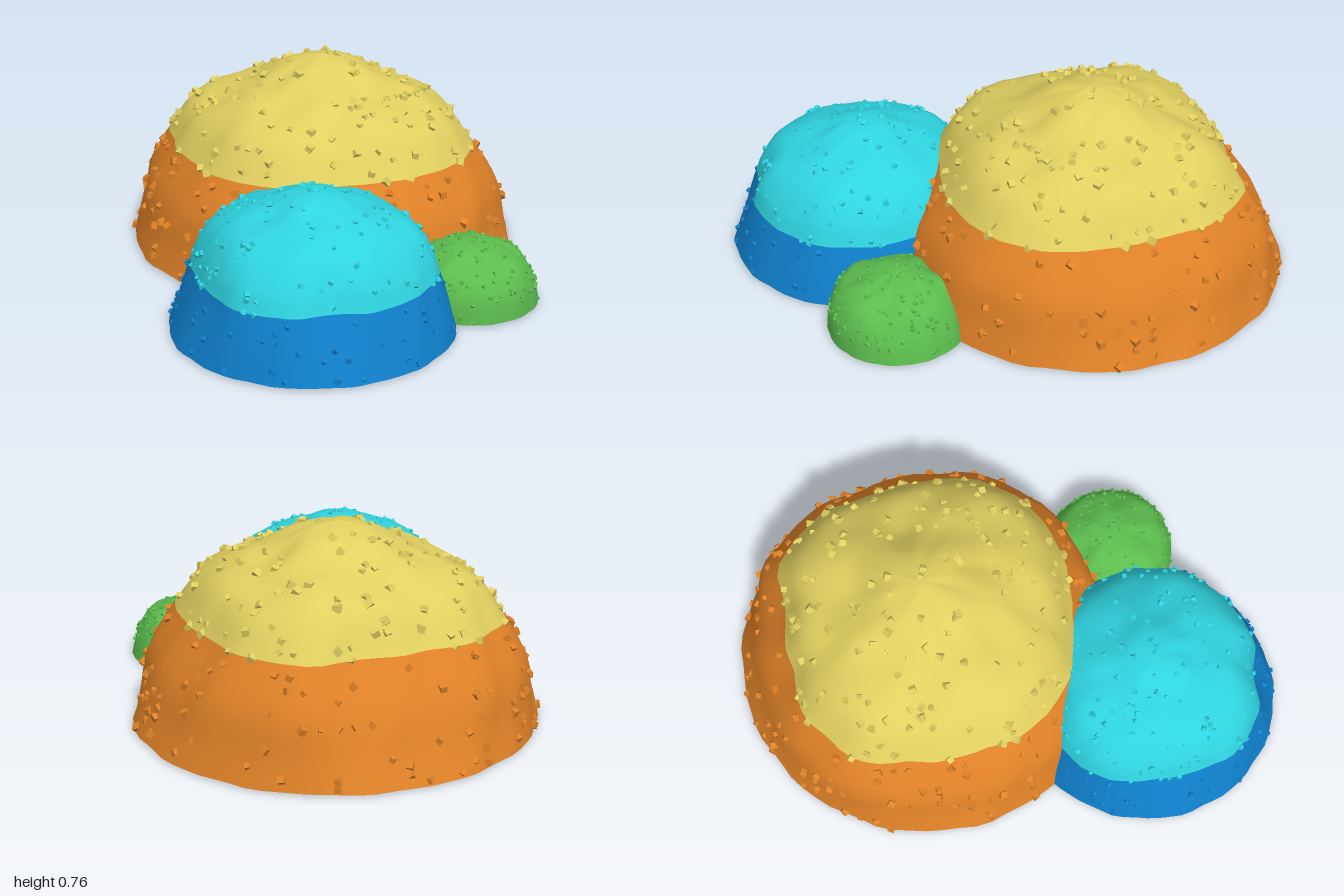
import * as THREE from 'three';
import { mergeGeometries } from 'three/addons/utils/BufferGeometryUtils.js';

const mat = (name, color) => {
  const m = new THREE.MeshStandardMaterial({ color });
  m.name = name;
  return m;
};

// small seeded generator
function seeded(seed) {
  let s = seed;
  return () => (s = (s * 16807) % 2147483647) / 2147483647;
}

// smooth periodic lookup of values spaced evenly around a full turn
function around(values, turn) {
  const n = values.length;
  const f = (((turn % 1) + 1) % 1) * n;
  const i = Math.floor(f) % n;
  const k = f - Math.floor(f);
  const s = k * k * (3 - 2 * k);
  return values[i] * (1 - s) + values[(i + 1) % n] * s;
}

const SEGMENTS = 72;
const STEPS = 4;

// profile: [radius, y] from the foot to the summit; split: profile index of the colour change;
// outline: radii of the mound at that level, going round from +x towards +z
function mound(o) {
  const group = new THREE.Group();
  group.name = o.name;
  const rnd = seeded(o.seed);
  const curve = new THREE.SplineCurve(o.profile.map(([r, y]) => new THREE.Vector2(r, y)));
  const rings = (o.profile.length - 1) * STEPS;
  const [splitR, splitY] = o.profile[o.split];
  const topY = o.profile[o.profile.length - 1][1];

  const pos = [];
  for (let j = 0; j <= rings; j++) {
    const p = curve.getPoint(j / rings);
    const blend = Math.min(1, p.y / splitY);
    const upper = Math.max(0, (p.y - splitY) / (topY - splitY));
    for (let i = 0; i < SEGMENTS; i++) {
      const a = (i / SEGMENTS) * Math.PI * 2;
      const shape = 1 + (around(o.outline, i / SEGMENTS) / splitR - 1) * blend;
      const ripple = 1 + 0.006 * Math.sin(a * 13 + o.seed + p.y * 9) + 0.004 * Math.sin(a * 23 + p.y * 17);
      const r = Math.max(0, p.x) * shape * ripple;
      const lump = o.lump * Math.sin(Math.PI * upper) * (Math.sin(a * 5 + o.seed + p.x * 14) + 0.6 * Math.sin(a * 8 - p.x * 20));
      pos.push(r * Math.cos(a), Math.max(0, p.y) + lump, r * Math.sin(a));
    }
  }
  const index = [];
  for (let j = 0; j < rings; j++) {
    for (let i = 0; i < SEGMENTS; i++) {
      const n = (i + 1) % SEGMENTS;
      const a = j * SEGMENTS + i, b = j * SEGMENTS + n;
      const c = a + SEGMENTS, d = b + SEGMENTS;
      index.push(a, c, b, b, c, d);
    }
  }
  const geo = new THREE.BufferGeometry();
  geo.setAttribute('position', new THREE.Float32BufferAttribute(pos, 3));
  geo.setIndex(index);
  geo.computeVertexNormals();
  const normals = geo.attributes.normal;
  for (let i = 0; i < SEGMENTS; i++) normals.setXYZ(rings * SEGMENTS + i, 0, 1, 0);
  const splitRing = o.split * STEPS;
  const splitAt = splitRing * SEGMENTS * 6;
  geo.addGroup(0, splitAt, 0);
  geo.addGroup(splitAt, index.length - splitAt, 1);
  const body = new THREE.Mesh(geo, [o.lower, o.upper]);
  body.name = 'moundSurface';
  group.add(body);

  // flat underside
  const foot = [];
  for (let i = 0; i < SEGMENTS; i++) foot.push(new THREE.Vector2(pos[i * 3], pos[i * 3 + 2]));
  const base = new THREE.Mesh(new THREE.ShapeGeometry(new THREE.Shape(foot)).rotateX(Math.PI / 2), o.lower);
  base.position.y = o.lift;
  base.name = 'underside';
  group.add(base);

  // little cubes half sunk into the surface
  const pebbles = [[], []];
  const dummy = new THREE.Object3D();
  for (let made = 0; made < o.pebbles;) {
    const j = 1 + Math.floor(rnd() * (rings - 1));
    const i = Math.floor(rnd() * SEGMENTS);
    if (rnd() > curve.getPoint(j / rings).x / o.profile[0][0]) continue;
    const v = j * SEGMENTS + i;
    dummy.position.fromBufferAttribute(geo.attributes.position, v);
    dummy.rotation.set(rnd() * 6.28, rnd() * 6.28, rnd() * 6.28);
    dummy.scale.setScalar(o.size * (0.75 + 0.5 * rnd()));
    dummy.updateMatrix();
    pebbles[j >= splitRing ? 1 : 0].push(new THREE.BoxGeometry(1, 1, 1).applyMatrix4(dummy.matrix));
    made++;
  }
  [o.lower, o.upper].forEach((material, k) => {
    if (!pebbles[k].length) return;
    const mesh = new THREE.Mesh(mergeGeometries(pebbles[k]), material);
    mesh.name = k ? 'upperPebbles' : 'lowerPebbles';
    group.add(mesh);
  });
  group.position.set(o.x, 0, o.z);
  return group;
}

export function createModel() {
  const orange = mat('orange', 0xe08228);
  const yellow = mat('yellow', 0xe0cf60);
  const blue = mat('blue', 0x0f80cc);
  const cyan = mat('cyan', 0x2fd4e0);
  const green = mat('green', 0x5cbc4e);

  const model = new THREE.Group();
  model.name = 'mounds';
  model.add(
    mound({
      name: 'largeMound', x: 0.25, z: -0.16, lower: orange, upper: yellow, seed: 11, lift: 0.001,
      profile: [[0.745, 0], [0.715, 0.1], [0.675, 0.25], [0.58, 0.4], [0.49, 0.53], [0.36, 0.6], [0.26, 0.64], [0.13, 0.71], [0, 0.74]],
      split: 3, lump: 0.008, pebbles: 330, size: 0.022,
      outline: [0.58, 0.54, 0.56, 0.6, 0.6, 0.575, 0.56, 0.6, 0.61, 0.58, 0.58, 0.62, 0.6, 0.54, 0.53, 0.6],
    }),
    mound({
      name: 'mediumMound', x: -0.48, z: 0.32, lower: blue, upper: cyan, seed: 29, lift: 0,
      profile: [[0.515, 0], [0.48, 0.11], [0.44, 0.22], [0.41, 0.3], [0.35, 0.38], [0.26, 0.43], [0.16, 0.465], [0.08, 0.5], [0, 0.51]],
      split: 2, lump: 0.006, pebbles: 220, size: 0.015,
      outline: [0.43, 0.43, 0.44, 0.45, 0.44, 0.44, 0.41, 0.45, 0.45, 0.42, 0.42, 0.45, 0.45, 0.43, 0.43, 0.43],
    }),
    mound({
      name: 'smallMound', x: 0.04, z: 0.65, lower: green, upper: green, seed: 47, lift: 0.002,
      profile: [[0.26, 0], [0.253, 0.06], [0.238, 0.11], [0.205, 0.16], [0.15, 0.19], [0.08, 0.22], [0, 0.23]],
      split: 2, lump: 0.005, pebbles: 170, size: 0.011,
      outline: [0.225, 0.225, 0.225, 0.235, 0.24, 0.24, 0.24, 0.245, 0.25, 0.245, 0.235, 0.225, 0.21, 0.21, 0.22, 0.225],
    }),
  );
  return model;
}
